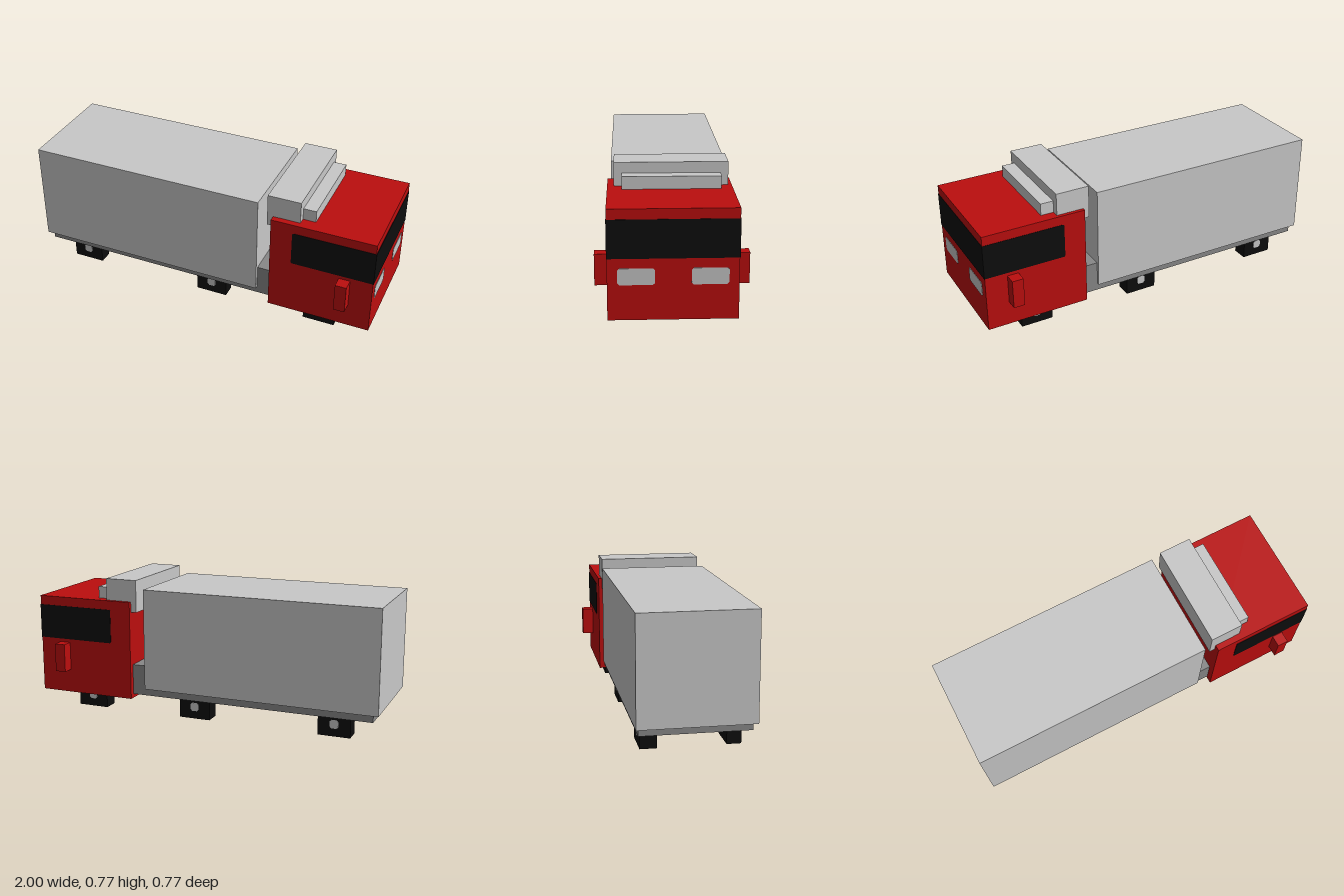
import * as THREE from 'three';

const mat = (name, color) => {
  const m = new THREE.MeshStandardMaterial({ color });
  m.name = name;
  return m;
};

export function createModel() {
  const truck = new THREE.Group();
  truck.name = 'boxTruck';
  const red = mat('cabRed', 0xbb0e0e);
  const black = mat('black', 0x0d0d0d);
  const light = mat('lightGrey', 0xc8c8c8);
  const dark = mat('chassisGrey', 0x888888);

  const add = (name, geometry, material) => {
    const mesh = new THREE.Mesh(geometry, material);
    mesh.name = name;
    truck.add(mesh);
    return mesh;
  };

  // Box given by its limits on each axis
  const box = (name, material, [x0, x1], [y0, y1], [z0, z1]) => {
    const g = new THREE.BoxGeometry(x1 - x0, y1 - y0, z1 - z0);
    g.translate((x0 + x1) / 2, (y0 + y1) / 2, (z0 + z1) / 2);
    return add(name, g, material);
  };

  // Thin plate with cut corners, centred on the origin and facing z
  const plate = (w, h, cut, depth) => {
    const a = w / 2, b = h / 2;
    const shape = new THREE.Shape([
      [-a + cut, -b], [a - cut, -b], [a, -b + cut], [a, b - cut],
      [a - cut, b], [-a + cut, b], [-a, b - cut], [-a, -b + cut],
    ].map(([x, y]) => new THREE.Vector2(x, y)));
    const g = new THREE.ExtrudeGeometry(shape, { depth, bevelEnabled: false });
    return g.translate(0, 0, -depth / 2);
  };

  // Main bodies
  box('chassis', dark, [-0.97, 0.43], [0.11, 0.283], [-0.29, 0.282]);
  box('cargoBox', light, [-1, 0.343], [0.15, 0.722], [-0.305, 0.302]);
  box('cab', red, [0.423, 0.998], [0.087, 0.647], [-0.319, 0.319]);

  // Roof fairing in two steps
  box('roofFairing', light, [0.39, 0.575], [0.588, 0.77], [-0.3, 0.285]);
  box('roofFairingStep', light, [0.56, 0.647], [0.63, 0.713], [-0.26, 0.245]);

  // Windscreen wraps around into the side windows
  box('windscreen', black, [0.994, 1], [0.4, 0.595], [-0.321, 0.321]);
  for (const side of [1, -1]) {
    const label = side > 0 ? 'left' : 'right';
    const z = side * 0.3185;
    const sideWindow = add(label + 'SideWindow', plate(0.453, 0.193, 0.006, 0.005), black);
    sideWindow.position.set(0.7715, 0.4985, z);
    box(label + 'WindowFrontEdge', black, [0.98, 0.999], [0.402, 0.595],
      [z - 0.0025, z + 0.0025]);

    // Headlight on the cab front
    const lamp = add(label + 'Headlight', plate(0.182, 0.084, 0.01, 0.004), light);
    lamp.rotation.y = Math.PI / 2;
    lamp.position.set(0.998, 0.309, side * 0.179);

    // Mirror block on the cab side
    const zs = [side * 0.315, side * 0.383].sort((a, b) => a - b);
    box(label + 'Mirror', red, [0.813, 0.875], [0.222, 0.383], zs);

    // Square wheels with a hub on each face
    const [inner, outer] = side > 0 ? [0.179, 0.255] : [0.177, 0.265];
    for (const x of [-0.755, 0.053, 0.7]) {
      const wz = [side * inner, side * outer].sort((a, b) => a - b);
      box(label + 'Wheel', black, [x - 0.09, x + 0.09], [0, 0.14], wz);
      for (const hz of wz) {
        const hub = add(label + 'WheelHub', plate(0.048, 0.048, 0.01, 0.004), light);
        hub.position.set(x, 0.068, hz);
      }
    }
  }
  return truck;
}
